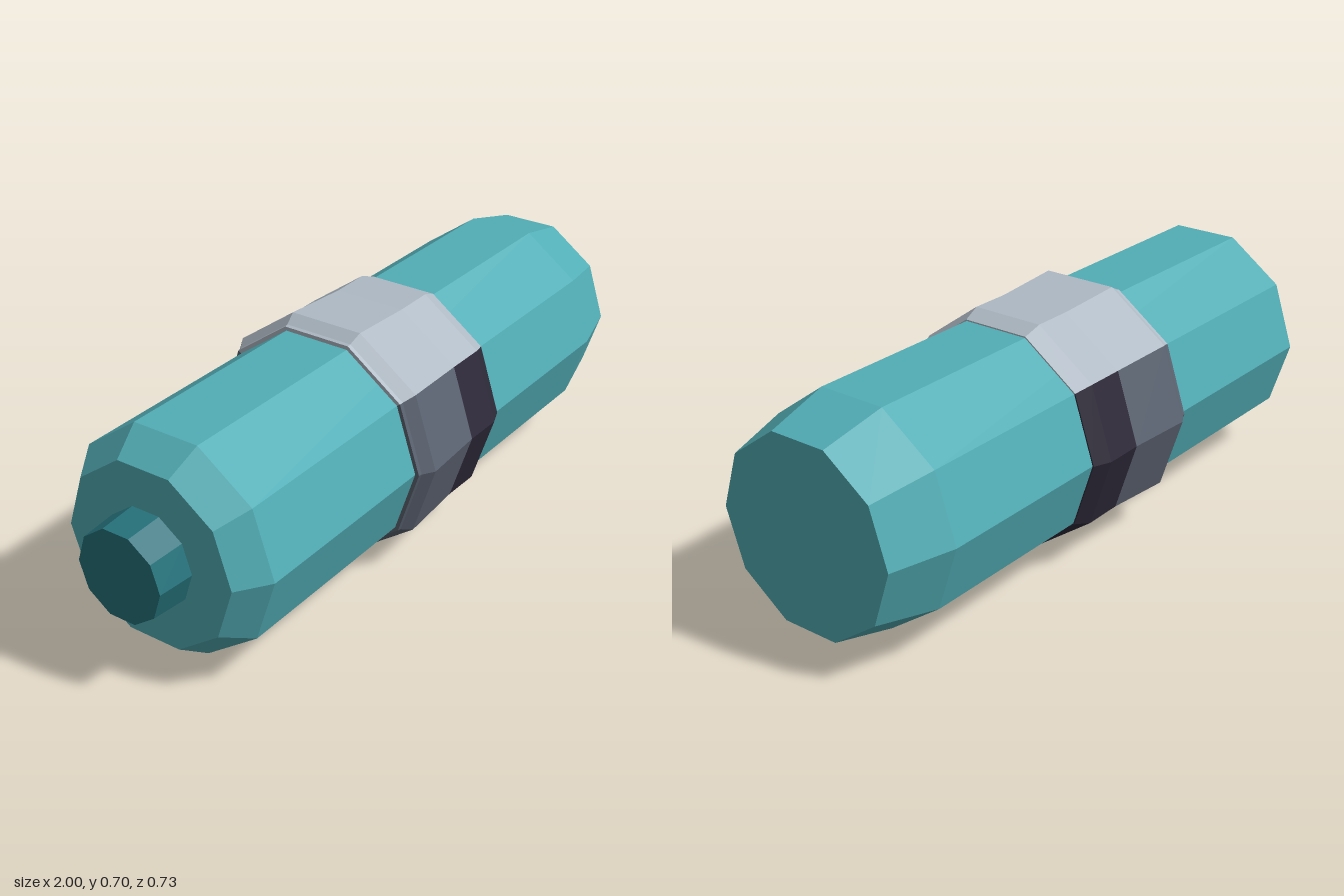
import * as THREE from 'three';

const SIDES = 10;
const STEP = (Math.PI * 2) / SIDES;

function material(name, color) {
  const m = new THREE.MeshStandardMaterial({ color });
  m.name = name;
  return m;
}

// Faceted shell around the x axis from [x, radius] pairs, covering `count` facets
function shell(name, profile, mat, first = 0, count = SIDES) {
  const points = profile.map(([x, r]) => new THREE.Vector2(r, x));
  const geometry = new THREE.LatheGeometry(points, count, first * STEP, count * STEP).toNonIndexed();
  geometry.rotateZ(-Math.PI / 2);
  geometry.computeVertexNormals();
  const mesh = new THREE.Mesh(geometry, mat);
  mesh.name = name;
  return mesh;
}

export function createModel() {
  const teal = material('teal', 0x52adb5);
  const darkTeal = material('dark teal', 0x26727b);
  const lightGrey = material('light grey', 0xaeb9c4);
  const slate = material('slate', 0x5c6472);
  const dark = material('dark plum', 0x2e2a3a);

  const model = new THREE.Group();
  model.name = 'capsule';

  // Main barrel with chamfered ends
  model.add(shell('barrel', [
    [-0.89, 0], [-0.89, 0.267], [-0.8, 0.33], [0.81, 0.33], [1, 0.281], [1, 0],
  ], teal));

  // Small tapered knob on the end
  model.add(shell('endKnob', [
    [-1, 0], [-1, 0.134], [-0.885, 0.142],
  ], darkTeal));

  // Middle band: grey plate over the top three facets, two tones on the rest
  const bandLeft = [
    [-0.176, 0.325], [-0.176, 0.342], [-0.165, 0.344], [-0.13, 0.3665], [0.08, 0.354],
  ];
  const bandRight = [[0.08, 0.354], [0.2, 0.355], [0.252, 0.334], [0.252, 0.325]];
  const band = new THREE.Group();
  band.name = 'band';
  band.add(
    shell('bandTop', [...bandLeft, ...bandRight.slice(1)], lightGrey, 6, 3),
    shell('bandSide', bandLeft, slate, 9, 7),
    shell('bandCollar', bandRight, dark, 9, 7),
  );
  model.add(band);

  // Lift so the band rests on the ground
  for (const part of model.children) part.position.y = 0.349;
  return model;
}
